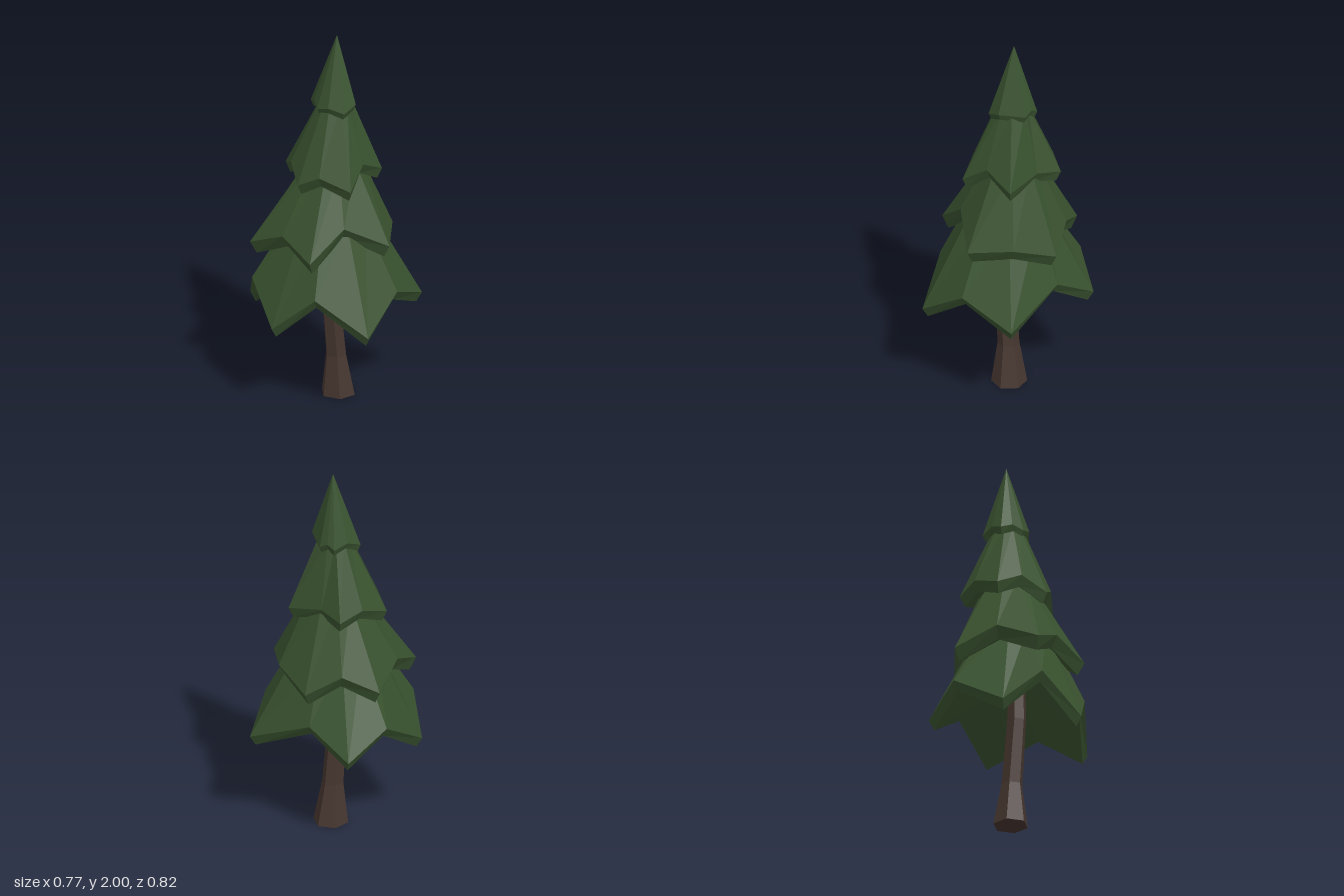
import * as THREE from 'three';

const foliageGreen = new THREE.MeshStandardMaterial({ color: 0x39522f, flatShading: true });
foliageGreen.name = 'foliageGreen';
const barkBrown = new THREE.MeshStandardMaterial({ color: 0x46362f, flatShading: true });
barkBrown.name = 'barkBrown';

// Joins rings of [x, y, z] points, listed from top to bottom, into faceted faces
function skin(rings) {
  const pos = [];
  const same = (a, b) => a.every((v, k) => v === b[k]);
  const tri = (a, b, c) => {
    if (!same(a, b) && !same(b, c) && !same(a, c)) pos.push(...a, ...b, ...c);
  };
  for (let r = 0; r + 1 < rings.length; r++) {
    const u = rings[r], l = rings[r + 1];
    for (let i = 0; i < u.length; i++) {
      const j = (i + 1) % u.length;
      tri(l[j], l[i], u[i]);
      tri(l[j], u[i], u[j]);
    }
  }
  const g = new THREE.BufferGeometry();
  g.setAttribute('position', new THREE.Float32BufferAttribute(pos, 3));
  g.computeVertexNormals();
  return g;
}

// One tier: top ring, jagged rim of points and notches, thick lip, hollow underside
function tier({ center: [cx, cz], topY, topR, lipIn, lipDown, underY, rim }) {
  const toward = (p, dist, y) => {
    const dx = p[0] - cx, dz = p[2] - cz, d = Math.hypot(dx, dz);
    return [cx + dx / d * dist(d), y, cz + dz / d * dist(d)];
  };
  const top = rim.map(p => topR ? toward(p, () => topR, topY) : [cx, topY, cz]);
  const lip = rim.map(p => toward(p, d => d - lipIn, p[1] - lipDown));
  const under = rim.map(() => [cx, underY, cz]);
  return skin([top, rim, lip, under]);
}

// Rims run from the back round past +x, alternating hanging points and notches
const tiers = [
  { name: 'topTier', center: [0.065, 0.01], topY: 2, topR: 0, lipIn: 0.015, lipDown: 0.035, underY: 1.66,
    rim: [[0.03, 1.61, -0.13], [0.1, 1.64, -0.09], [0.17, 1.62, -0.05], [0.168, 1.645, -0.01], [0.165, 1.62, 0.035],
      [0.065, 1.64, 0.13], [-0.015, 1.61, 0.115], [-0.05, 1.635, 0.04], [-0.05, 1.615, -0.03], [-0.01, 1.635, -0.08]] },
  { name: 'upperTier', center: [0.055, 0.01], topY: 1.64, topR: 0.08, lipIn: 0.025, lipDown: 0.055, underY: 1.34,
    rim: [[-0.01, 1.24, -0.26], [0.145, 1.3, -0.2], [0.26, 1.26, -0.13], [0.215, 1.29, 0], [0.2, 1.25, 0.195],
      [0.04, 1.33, 0.195], [-0.1, 1.23, 0.22], [-0.16, 1.29, 0.065], [-0.19, 1.23, -0.05], [-0.1, 1.3, -0.16]] },
  { name: 'middleTier', center: [0.05, 0.01], topY: 1.32, topR: 0.13, lipIn: 0.035, lipDown: 0.065, underY: 1.02,
    rim: [[0.2, 0.88, -0.325], [0.28, 0.965, -0.15], [0.36, 0.86, 0.02], [0.25, 0.94, 0.225], [0.05, 0.91, 0.355],
      [-0.13, 1.03, 0.2], [-0.32, 0.88, 0.125], [-0.265, 0.96, -0.09], [-0.26, 0.87, -0.3], [-0.03, 0.97, -0.31]] },
  { name: 'bottomTier', center: [0.02, 0.01], topY: 1.02, topR: 0.2, lipIn: 0.03, lipDown: 0.05, underY: 0.8,
    rim: [[-0.11, 0.5, -0.41], [0.19, 0.68, -0.36], [0.385, 0.54, -0.24], [0.35, 0.68, 0], [0.34, 0.54, 0.345],
      [0.055, 0.665, 0.4], [-0.205, 0.5, 0.41], [-0.31, 0.68, 0.15], [-0.39, 0.49, -0.065], [-0.27, 0.68, -0.28]] },
];

// Leaning hexagonal trunk with a flared foot: centre x, y, centre z, radius
function trunk() {
  const ring = ([x, y, z, r]) => Array.from({ length: 6 }, (_, i) => {
    const a = (i + 0.3) * Math.PI / 3;
    return [x + r * Math.cos(a), y, z + r * Math.sin(a)];
  });
  return skin([[0.005, 0.85, 0.01, 0.045], [0.008, 0.57, 0.012, 0.05], [0.04, 0.22, 0.024, 0.056],
    [0.05, 0, 0.03, 0.092], [0.05, 0, 0.03, 0]].map(ring));
}

export function createModel() {
  const tree = new THREE.Group();
  tree.name = 'pineTree';
  const add = (name, geometry, material) => {
    const mesh = new THREE.Mesh(geometry, material);
    mesh.name = name;
    tree.add(mesh);
  };
  add('trunk', trunk(), barkBrown);
  for (const t of tiers) add(t.name, tier(t), foliageGreen);
  return tree;
}
